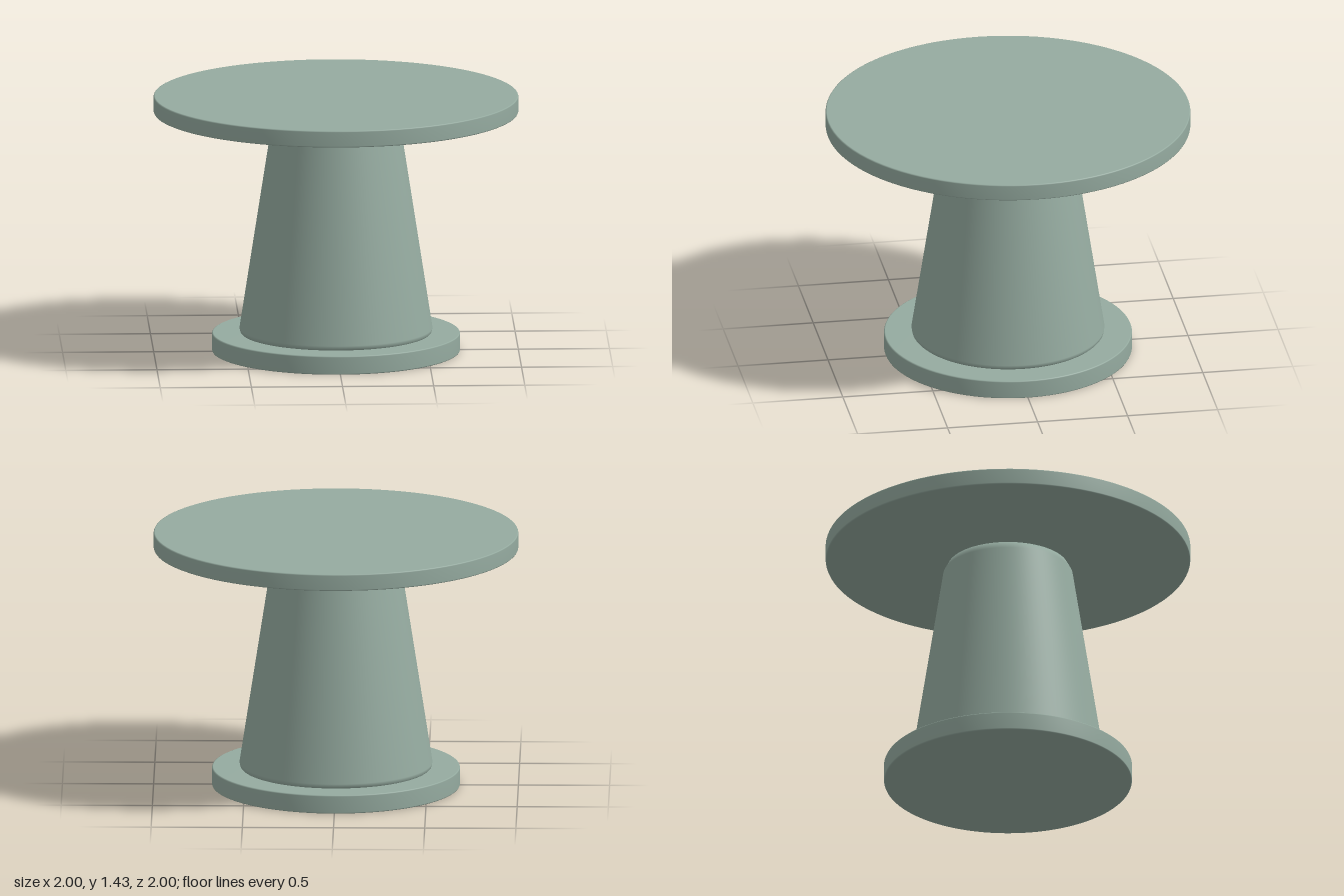
import * as THREE from 'three';

const SEGMENTS = 96;

// Revolves a profile of [radius, height] points, listed from bottom to top
function revolve(name, points, material) {
  const profile = points.map(([r, y]) => new THREE.Vector2(r, y));
  const mesh = new THREE.Mesh(new THREE.LatheGeometry(profile, SEGMENTS), material);
  mesh.name = name;
  return mesh;
}

// Flat round slab with slightly softened rims
function disc(name, radius, bottom, top, material) {
  const b = 0.007;
  return revolve(name, [
    [0, bottom], [radius - b, bottom],
    [radius - b * 0.3, bottom + b * 0.3], [radius, bottom + b],
    [radius, top - b], [radius - b * 0.3, top - b * 0.3],
    [radius - b, top], [0, top],
  ], material);
}

export function createModel() {
  const sage = new THREE.MeshStandardMaterial({ color: 0x95aba0 });
  sage.name = 'sage green';

  const table = new THREE.Group();
  table.name = 'pedestalTable';

  // Foot plate
  table.add(disc('base', 0.68, 0, 0.104, sage));

  // Tapered column with rounded shoulders, stopping just short of the top
  table.add(revolve('pedestal', [
    [0, 0.1], [0.515, 0.1], [0.525, 0.11], [0.529, 0.13],
    [0.355, 1.25], [0.331, 1.294], [0.285, 1.312], [0, 1.312],
  ], sage));

  // Round tabletop
  table.add(disc('tabletop', 1, 1.335, 1.428, sage));

  return table;
}
